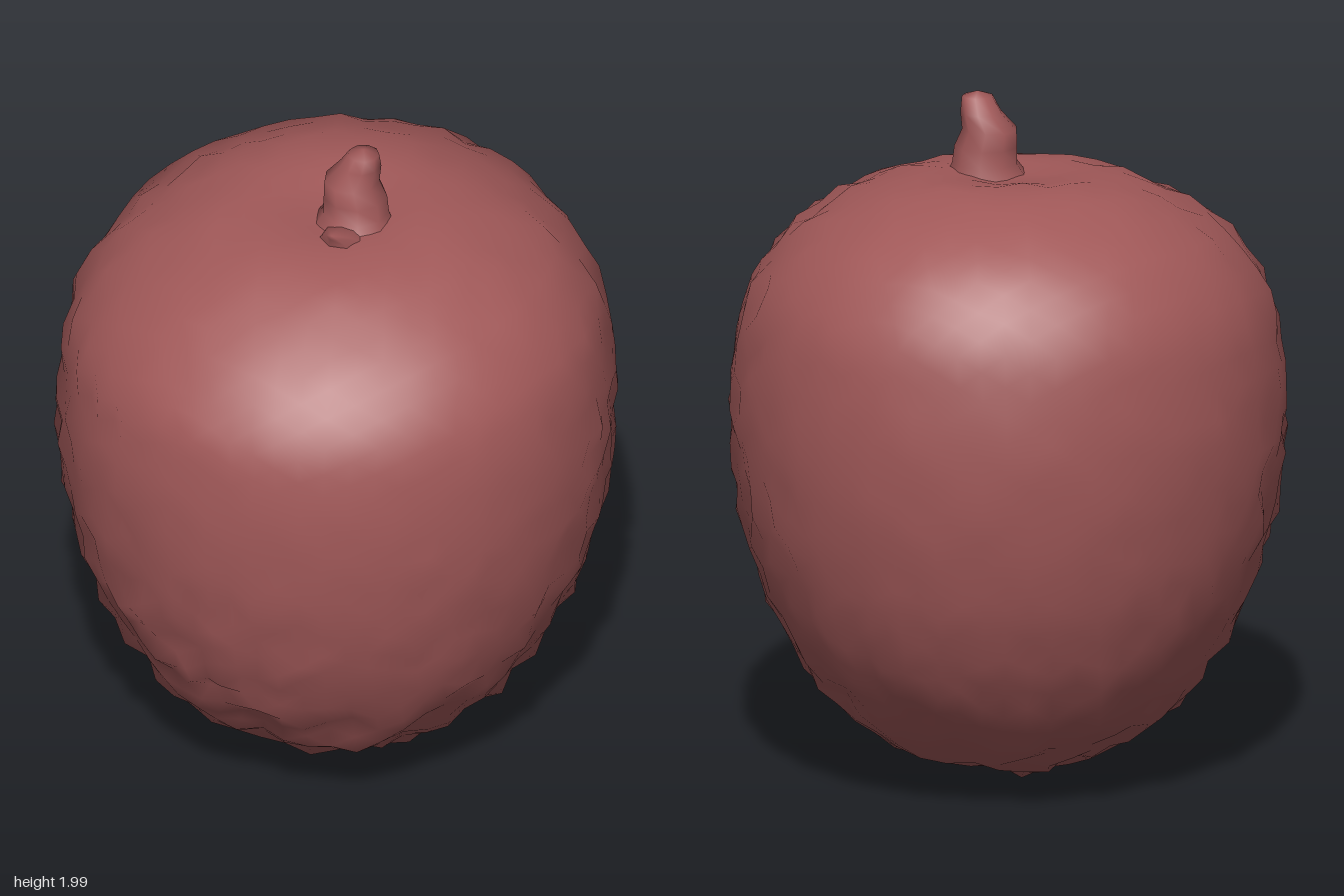
import * as THREE from 'three';
import { mergeVertices } from 'three/addons/utils/BufferGeometryUtils.js';

// Small seeded random generator
function makeRandom(seed) {
  return () => {
    seed = (seed * 1664525 + 1013904223) >>> 0;
    return seed / 4294967296;
  };
}

// Remove seams so that vertices and normals are shared
function weld(geometry) {
  geometry.deleteAttribute('uv');
  geometry.deleteAttribute('normal');
  const welded = mergeVertices(geometry, 1e-4);
  welded.computeVertexNormals();
  return welded;
}

// Push each vertex along its normal by a random amount
function roughen(geometry, random, amount) {
  const p = geometry.attributes.position;
  const n = geometry.attributes.normal;
  for (let i = 0; i < p.count; i++) {
    const d = (random() * 2 - 1) * amount(p.getY(i), p.getZ(i));
    p.setXYZ(i, p.getX(i) + n.getX(i) * d,
      Math.max(0, p.getY(i) + n.getY(i) * d), p.getZ(i) + n.getZ(i) * d);
  }
}

// Round fruit, tapering below, with a shallow dimple on top
function createBody() {
  const { smoothstep } = THREE.MathUtils;
  const profile = new THREE.SplineCurve([
    [0, 0.025], [0.12, 0.04], [0.3, 0.105], [0.47, 0.215], [0.612, 0.4],
    [0.705, 0.6], [0.757, 0.8], [0.783, 1.0], [0.782, 1.2], [0.75, 1.4],
    [0.7, 1.5], [0.625, 1.595], [0.5, 1.685], [0.36, 1.75], [0.22, 1.775],
    [0.1, 1.762], [0, 1.75],
  ].map(([r, y]) => new THREE.Vector2(r, y)));

  // Wrap an evenly divided ball onto the profile
  const geometry = weld(new THREE.IcosahedronGeometry(1, 12));
  const p = geometry.attributes.position;
  const dir = new THREE.Vector3();
  for (let i = 0; i < p.count; i++) {
    dir.fromBufferAttribute(p, i).normalize();
    const point = profile.getPointAt(Math.acos(THREE.MathUtils.clamp(-dir.y, -1, 1)) / Math.PI);
    const flat = Math.hypot(dir.x, dir.z) || 1;
    const x = dir.x / flat * point.x;
    const z = dir.z / flat * point.x * 1.03;
    // The back shoulder stands a little higher than the front one
    const tilt = smoothstep(point.y, 1.2, 1.7) * (0.045 * z + 0.015 * x);
    p.setXYZ(i, x, point.y - tilt, z);
  }
  geometry.computeVertexNormals();

  // The skin is bumpiest at the bottom and lower front
  const random = makeRandom(17);
  roughen(geometry, random, (y, z) =>
    0.003 + 0.013 * (1 - smoothstep(y, 0.2, 0.8 + 0.5 * z)));
  geometry.computeVertexNormals();
  // Fine prickles that keep the soft shading
  roughen(geometry, random, (y) => (y > 1.72 ? 0.006 : 0.014));
  return geometry;
}

// Tapered, slightly leaning stalk from [x, y, z, radius] rings
function createStalk(rings, sides) {
  const outline = rings.map((r) => new THREE.Vector2(r[3], r[1]));
  const geometry = new THREE.LatheGeometry(outline, sides);
  const p = geometry.attributes.position;
  for (let i = 0; i < p.count; i++) {
    const ring = rings[i % rings.length];
    p.setX(i, p.getX(i) + ring[0]);
    p.setZ(i, p.getZ(i) + ring[2]);
  }
  return weld(geometry);
}

export function createModel() {
  const group = new THREE.Group();
  const skin = new THREE.MeshStandardMaterial({ color: 0xa05858 });
  skin.name = 'dusty red skin';

  const add = (name, geometry) => {
    const mesh = new THREE.Mesh(geometry, skin);
    mesh.name = name;
    group.add(mesh);
  };

  add('fruitBody', createBody());
  add('stem', createStalk([
    [0.08, 1.73, 0.03, 0.13], [0.08, 1.79, 0.015, 0.095], [0.075, 1.84, 0.012, 0.092],
    [0.065, 1.89, 0.015, 0.08], [0.085, 1.94, 0, 0.06], [0.1, 1.985, 0.005, 0.045],
    [0.1, 2.0, 0.005, 0],
  ], 9));
  // Little spur at the foot of the stem
  add('stemSpur', createStalk([
    [0.1, 1.73, 0.09, 0.085], [0.11, 1.775, 0.13, 0.055], [0.12, 1.8, 0.165, 0.028],
    [0.13, 1.82, 0.2, 0],
  ], 7));
  return group;
}
